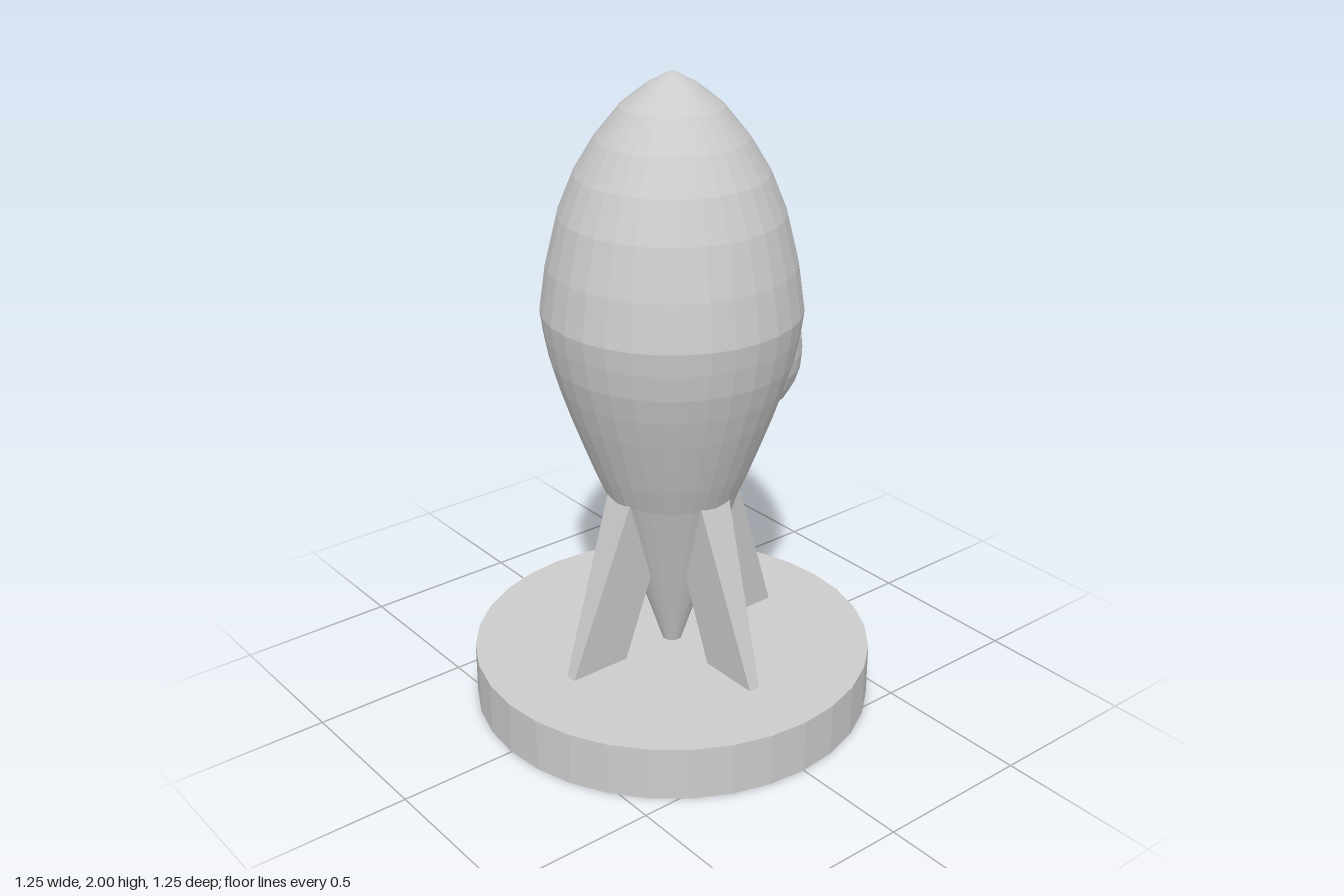
import * as THREE from 'three';

const material = new THREE.MeshStandardMaterial({ color: 0xcccccc, flatShading: true });

function addPart(parent, name, geometry) {
  const mesh = new THREE.Mesh(geometry, material);
  mesh.name = name;
  parent.add(mesh);
  return mesh;
}

// Slanted fin along +z: a box whose corners are moved so it leans out and narrows downward
function finGeometry() {
  const top = { y: 0.75, inner: 0.02, outer: 0.197, half: 0.057 };
  const foot = { y: 0.165, inner: 0.2, outer: 0.402, half: 0.018 };
  const geometry = new THREE.BoxGeometry(2, 2, 2);
  const p = geometry.attributes.position;
  for (let i = 0; i < p.count; i++) {
    const end = p.getY(i) > 0 ? top : foot;
    p.setXYZ(i, p.getX(i) * end.half, end.y, p.getZ(i) > 0 ? end.outer : end.inner);
  }
  geometry.computeVertexNormals();
  return geometry;
}

export function createModel() {
  const model = new THREE.Group();
  model.name = 'rocketStatuette';

  // Round base
  addPart(model, 'base', new THREE.CylinderGeometry(0.627, 0.627, 0.17, 32)).position.y = 0.085;

  // Teardrop body, from the narrow tail to the pointed nose
  const profile = [
    [0, 0.16], [0.027, 0.16], [0.066, 0.28], [0.106, 0.4], [0.159, 0.56], [0.211, 0.715],
    [0.246, 0.8], [0.28, 0.89], [0.313, 0.98], [0.343, 1.07], [0.366, 1.15], [0.381, 1.23],
    [0.39, 1.3], [0.37, 1.44], [0.333, 1.59], [0.284, 1.71], [0.223, 1.81], [0.15, 1.9],
    [0.075, 1.96], [0, 2],
  ].map(([r, y]) => new THREE.Vector2(r, y));
  addPart(model, 'body', new THREE.LatheGeometry(profile, 32));

  // Bulging window on the side
  const bulge = addPart(model, 'sideWindow', new THREE.SphereGeometry(1, 32, 16));
  bulge.scale.set(0.227, 0.25, 0.285);
  bulge.position.set(0.21, 1.13, -0.03);

  // Four fins around the tail
  const fins = new THREE.Group();
  fins.name = 'fins';
  const fin = finGeometry();
  ['frontFin', 'leftFin', 'backFin', 'rightFin'].forEach((name, i) => {
    addPart(fins, name, fin).rotation.y = i * Math.PI / 2;
  });
  model.add(fins);

  return model;
}
